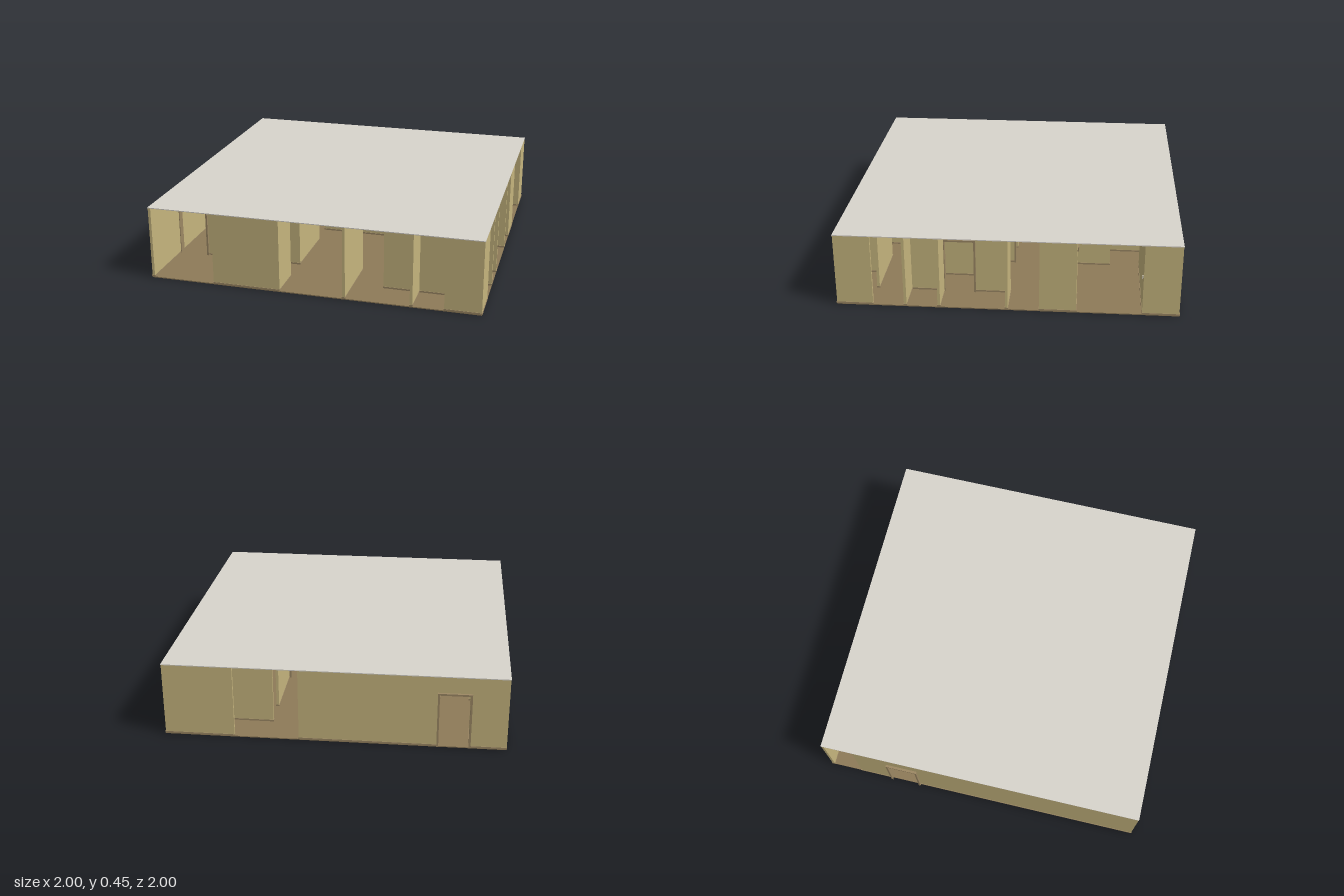
import * as THREE from 'three';

const material = (name, color) => {
  const m = new THREE.MeshStandardMaterial({ color });
  m.name = name;
  return m;
};

export function createModel() {
  const model = new THREE.Group();
  model.name = 'mazeRooms';
  const plaster = material('ochreWall', 0xc6b57e);
  const trim = material('brownTrim', 0x9c8864);
  const carpet = material('brownCarpet', 0x8e7a58);
  const tile = material('greyCeiling', 0xd8d4cc);
  const white = material('whitePlastic', 0xe6e2d6);

  const FLOOR = 0.006, TOP = 0.442, DOOR = 0.335, HALF = 0.008;
  // Grid line 0..10 to position, the same along x and z
  const g = (i) => -0.977 + 0.1967 * i;

  function box(parent, name, mat, x0, x1, y0, y1, z0, z1) {
    const mesh = new THREE.Mesh(new THREE.BoxGeometry(x1 - x0, y1 - y0, z1 - z0), mat);
    mesh.position.set((x0 + x1) / 2, (y0 + y1) / 2, (z0 + z1) / 2);
    mesh.name = name;
    parent.add(mesh);
  }

  // Box lying along a grid line: axis 'x' keeps x constant, 'z' keeps z constant
  function along(parent, name, mat, axis, line, a, b, y0, y1, half) {
    const c = g(line);
    if (axis === 'x') box(parent, name, mat, c - half, c + half, y0, y1, a, b);
    else box(parent, name, mat, a, b, y0, y1, c - half, c + half);
  }

  // Solid wall with skirting on both sides
  function solid(axis, line, from, to) {
    const group = new THREE.Group();
    group.name = 'wall';
    const a = g(from) - HALF, b = g(to) + HALF;
    along(group, 'wallPanel', plaster, axis, line, a, b, FLOOR, TOP, HALF);
    along(group, 'skirting', trim, axis, line, a - 0.002, b + 0.002, FLOOR, 0.016, HALF + 0.003);
    model.add(group);
  }

  // One-cell doorway with lintel and projecting frame
  function doorway(axis, line, from) {
    const group = new THREE.Group();
    group.name = 'doorway';
    const a = g(from) + 0.001, b = g(from + 1) - 0.001, w = 0.011, depth = 0.022;
    along(group, 'lintel', plaster, axis, line, a, b, DOOR, TOP, HALF);
    along(group, 'leftJamb', trim, axis, line, a, a + w, FLOOR, DOOR, depth);
    along(group, 'rightJamb', trim, axis, line, b - w, b, FLOOR, DOOR, depth);
    along(group, 'doorHead', trim, axis, line, a, b, DOOR, DOOR + w, depth);
    model.add(group);
  }

  // Floor and ceiling slabs
  box(model, 'floor', carpet, -0.985, 0.998, 0, FLOOR, -0.985, 0.998);
  box(model, 'ceiling', tile, -0.987, 1, TOP, 0.447, -0.987, 1);

  // Walls of constant x: [line, from, to]
  [
    [0, 1, 2], [0, 3, 10],
    [10, 0, 1], [10, 3, 4], [10, 9, 10],
    [1, 0, 1], [2, 3, 5], [2, 6, 7], [3, 8, 9],
    [4, 9, 10], [4, 6, 8], [4, 2, 3], [5, 3, 5],
    [6, 8, 10], [6, 0, 2], [7, 2, 4], [7, 5, 6],
    [8, 9, 10], [8, 6, 8], [9, 5, 6], [9, 7, 8],
  ].forEach((w) => solid('x', ...w));

  // Walls of constant z: [line, from, to]
  [
    [0, 0, 1], [0, 2, 6], [0, 8, 10],
    [10, 2, 4], [10, 9, 10],
    [1, 0, 1], [1, 7, 10], [2, 2, 4], [3, 0, 1], [3, 9, 10],
    [4, 8, 10], [5, 9, 10], [5, 4, 6], [6, 1, 3], [7, 9, 10],
    [8, 1, 4], [8, 9, 10], [9, 7, 9],
  ].forEach((w) => solid('z', ...w));

  // Doorways
  [['x', 0, 2], ['x', 2, 5], ['x', 4, 3], ['x', 5, 2], ['x', 7, 4], ['x', 9, 6],
    ['z', 0, 1], ['z', 8, 0]].forEach((d) => doorway(...d));

  // Fuse boxes on side walls
  [[4, 0.385], [6, -0.82]].forEach(([line, z]) => {
    const x = g(line) + HALF;
    box(model, 'fuseBox', trim, x, x + 0.018, 0.2, 0.295, z - 0.02, z + 0.02);
    box(model, 'fuseBoxHandle', white, x + 0.018, x + 0.024, 0.24, 0.255, z - 0.004, z + 0.004);
  });

  // Low air vent, wall sign and light switches
  const ventZ = g(5) + HALF;
  box(model, 'airVent', trim, 0.04, 0.14, 0.035, 0.09, ventZ, ventZ + 0.008);
  const signZ = g(3) - HALF;
  box(model, 'wallPlate', trim, 0.82, 0.88, 0.335, 0.36, signZ - 0.008, signZ);
  [[1, 0.93], [4, 0.84]].forEach(([line, x]) => {
    const z = g(line) + HALF;
    box(model, 'lightSwitch', white, x - 0.006, x + 0.006, 0.2, 0.22, z, z + 0.005);
  });

  return model;
}
